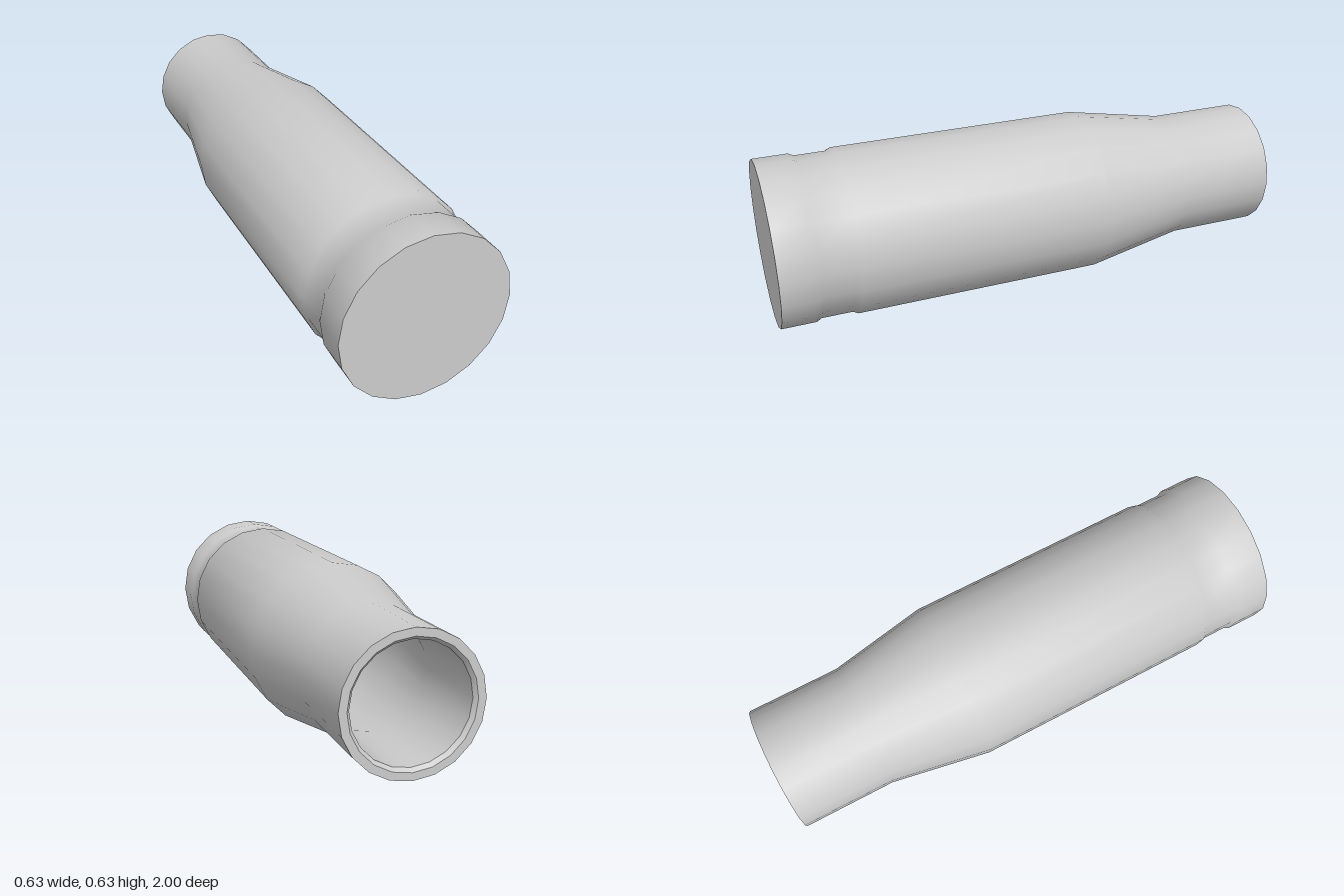
import * as THREE from 'three';
import { toCreasedNormals } from 'three/addons/utils/BufferGeometryUtils.js';

const SIDES = 20;
const RADIUS = 0.316;

export function createModel() {
  const group = new THREE.Group();
  group.name = 'cartridgeCase';

  // Profile as [radius, z]: up the hollow inside, over the mouth, along the outside, across the base
  const profile = [
    // hollow inside
    [0, 0.8], [0.275, 0.8], [0.275, -0.25], [0.206, -0.64], [0.206, -0.985],
    // mouth rim with a small inner chamfer
    [0.218, -1], [0.246, -1],
    // neck, shoulder and body
    [0.246, -0.64], [RADIUS, -0.25], [RADIUS, 0.715],
    // extractor groove
    [0.306, 0.735], [0.306, 0.85],
    // base rim and flat base
    [RADIUS, 0.87], [RADIUS, 1], [0, 1],
  ].map(([r, z]) => new THREE.Vector2(r, z));

  const lathe = new THREE.LatheGeometry(profile, SIDES);
  lathe.rotateX(Math.PI / 2); // axis along z, base facing the front
  const geometry = toCreasedNormals(lathe, THREE.MathUtils.degToRad(35));

  const shell = new THREE.Mesh(geometry, new THREE.MeshStandardMaterial({ color: 0xcccccc }));
  shell.name = 'shellCase';
  shell.position.y = RADIUS;
  group.add(shell);

  return group;
}
